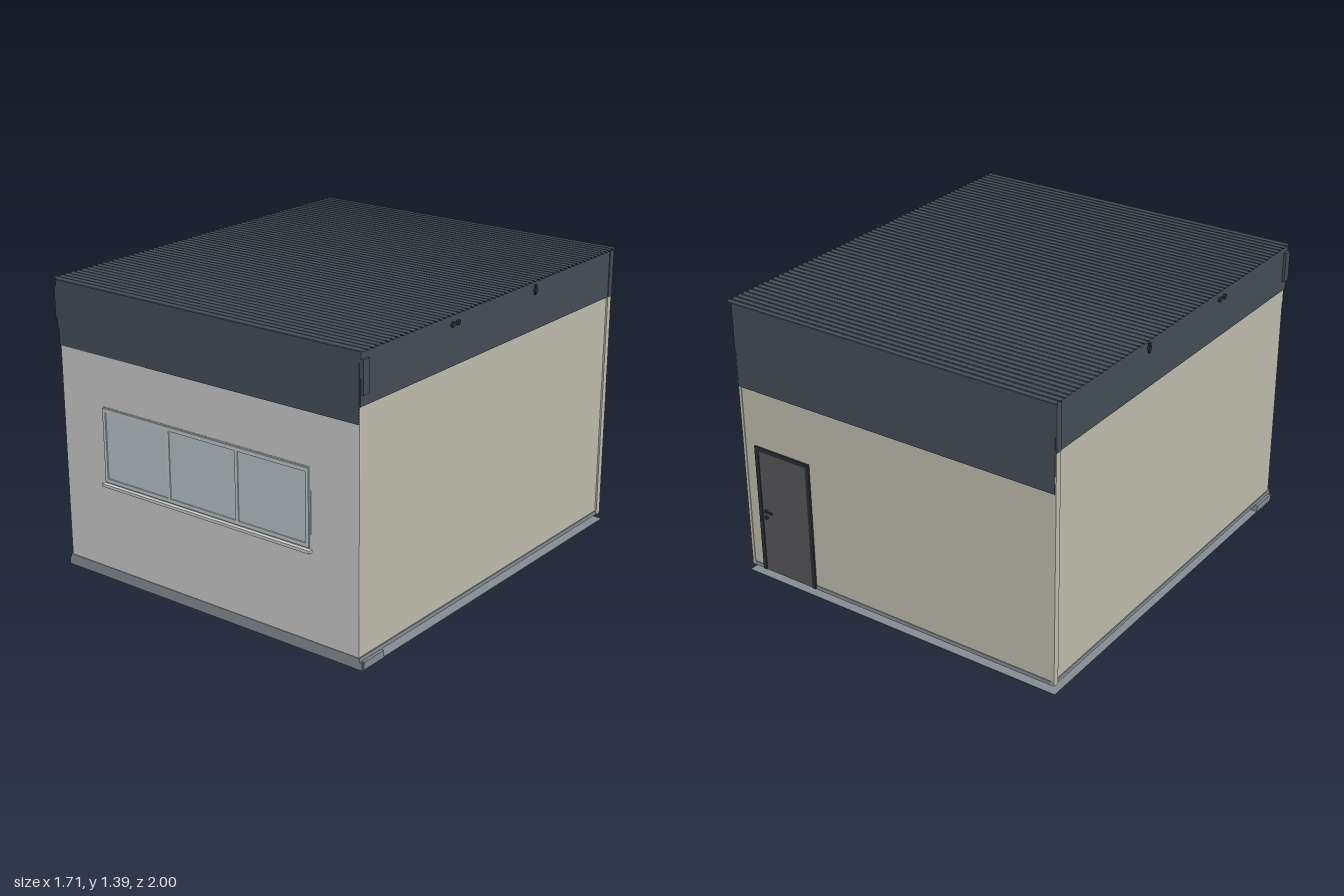
import * as THREE from 'three';

const mat = (color, extra = {}) => new THREE.MeshStandardMaterial({ color, ...extra });
const M = {
  front: mat(0xcccccc), cream: mat(0xc2bfb0), fascia: mat(0x454e58), plinth: mat(0x858d93),
  glass: mat(0xb9c4c8), frame: mat(0xc0c8ca), dark: mat(0x2c2f33), door: mat(0x58585a),
  floor: mat(0x424245), roof: mat(0x47505a, { flatShading: true, side: THREE.DoubleSide }),
};

export function createModel() {
  const root = new THREE.Group();

  // Box given by its limits on each axis
  const box = (name, m, [x0, x1], [y0, y1], [z0, z1], parent = root) => {
    const mesh = new THREE.Mesh(new THREE.BoxGeometry(x1 - x0, y1 - y0, z1 - z0), m);
    mesh.position.set((x0 + x1) / 2, (y0 + y1) / 2, (z0 + z1) / 2);
    mesh.name = name;
    parent.add(mesh);
    return mesh;
  };
  const group = (name) => {
    const g = new THREE.Group();
    g.name = name;
    root.add(g);
    return g;
  };

  // Floor plate with a projecting edge
  box('floorPlate', M.floor, [-0.853, 0.853], [0, 0.002], [-0.985, 0.975]);
  box('floorEdge', M.plinth, [-0.855, 0.855], [0.002, 0.004], [-0.985, 0.975]);

  // Walls
  box('sideAndBackWalls', M.cream, [-0.837, 0.837], [0.035, 1.375], [-0.973, 0.975]);
  box('frontWall', M.front, [-0.832, 0.837], [0.035, 1.375], [0.975, 0.98]);

  // Plinth band round the foot of the walls
  box('plinthBand', M.plinth, [-0.842, 0.842], [0.035, 0.055], [-0.976, 0.983]);
  box('frontPlinth', M.plinth, [-0.853, 0.853], [0, 0.035], [0.972, 0.98]);

  // Fascia panels, each with its own depth
  box('frontFascia', M.fascia, [-0.835, 0.837], [1.075, 1.376], [0.975, 0.984]);
  box('backFascia', M.fascia, [-0.84, 0.84], [0.965, 1.376], [-0.979, -0.97]);

  // Parts repeated on both sides
  for (const s of [-1, 1]) {
    const side = group(s > 0 ? 'leftSideParts' : 'rightSideParts');
    const span = (a, b) => (s > 0 ? [a, b] : [-b, -a]);
    box('sideFascia', M.fascia, span(0.83, 0.843), [1.15, 1.376], [-0.978, 0.982], side);
    box('cornerTrim', M.cream, span(0.83, 0.845), [0.035, 1.15], [-0.976, -0.945], side);
    box('cornerTrimTop', M.fascia, span(0.83, 0.847), [1.15, 1.376], [-0.978, -0.945], side);
    box('gutterEnd', M.fascia, span(0.84, 0.855), [1.2, 1.345], [0.94, 0.98], side);
    box('cornerFoot', M.plinth, span(0.82, 0.855), [0, 0.035], [0.83, 0.967], side);

    // Small cable outlets under the roof edge: a single one and a pair
    for (const z of [-0.285, 0.32, 0.36]) {
      const outlet = new THREE.Mesh(new THREE.CylinderGeometry(0.012, 0.012, 0.01, 12), M.dark);
      outlet.rotation.z = Math.PI / 2;
      outlet.position.set(s * 0.847, 1.335, z);
      outlet.name = 'cableOutlet';
      side.add(outlet);
    }
    box('outletClip', M.dark, span(0.843, 0.85), [1.315, 1.36], [-0.292, -0.278], side);
    box('outletBar', M.dark, span(0.843, 0.85), [1.33, 1.34], [0.32, 0.36], side);
  }

  // Corrugated roof sheet, ribs running from side to side
  const ribs = 60, ribHeight = 0.009;
  const roofGeo = new THREE.PlaneGeometry(1.71, 1.976, 1, ribs * 4).rotateX(-Math.PI / 2);
  const pos = roofGeo.attributes.position;
  for (let i = 0; i < pos.count; i++) {
    const step = Math.floor(i / 2) % 4;
    pos.setY(i, step < 2 ? 0 : ribHeight);
  }
  roofGeo.computeVertexNormals();
  const roof = new THREE.Mesh(roofGeo, M.roof);
  roof.position.set(0, 1.377, -0.012);
  roof.name = 'corrugatedRoof';
  root.add(roof);

  // Three-light window with frame bars, head and sill
  const win = group('window');
  box('windowBacking', M.glass, [-0.585, 0.59], [0.475, 0.838], [0.975, 0.982], win);
  for (const [a, b] of [[-0.565, -0.2], [-0.187, 0.19], [0.202, 0.565]]) {
    box('pane', M.glass, [a, b], [0.5, 0.815], [0.98, 0.984], win);
  }
  for (const x of [-0.575, -0.194, 0.196, 0.575]) {
    box('mullion', M.frame, [x - 0.008, x + 0.008], [0.485, 0.83], [0.98, 0.988], win);
  }
  for (const y of [0.49, 0.824]) {
    box('frameRail', M.frame, [-0.583, 0.583], [y - 0.009, y + 0.009], [0.98, 0.988], win);
  }
  box('sill', M.front, [-0.595, 0.595], [0.46, 0.474], [0.975, 1], win);

  // Back door with frame, lever handle and lock
  const door = group('backDoor');
  box('doorLeaf', M.door, [0.475, 0.755], [0.037, 0.67], [-0.978, -0.97], door);
  for (const x of [0.467, 0.763]) {
    box('doorJamb', M.dark, [x - 0.01, x + 0.01], [0.037, 0.685], [-0.982, -0.97], door);
  }
  box('doorHead', M.dark, [0.457, 0.773], [0.665, 0.685], [-0.982, -0.97], door);
  box('handleLever', M.dark, [0.69, 0.735], [0.353, 0.362], [-0.988, -0.983], door);
  for (const y of [0.357, 0.325]) {
    const rose = new THREE.Mesh(new THREE.CylinderGeometry(0.009, 0.009, 0.008, 12), M.dark);
    rose.rotation.x = Math.PI / 2;
    rose.position.set(0.732, y, -0.981);
    rose.name = 'handleRose';
    door.add(rose);
  }

  return root;
}
